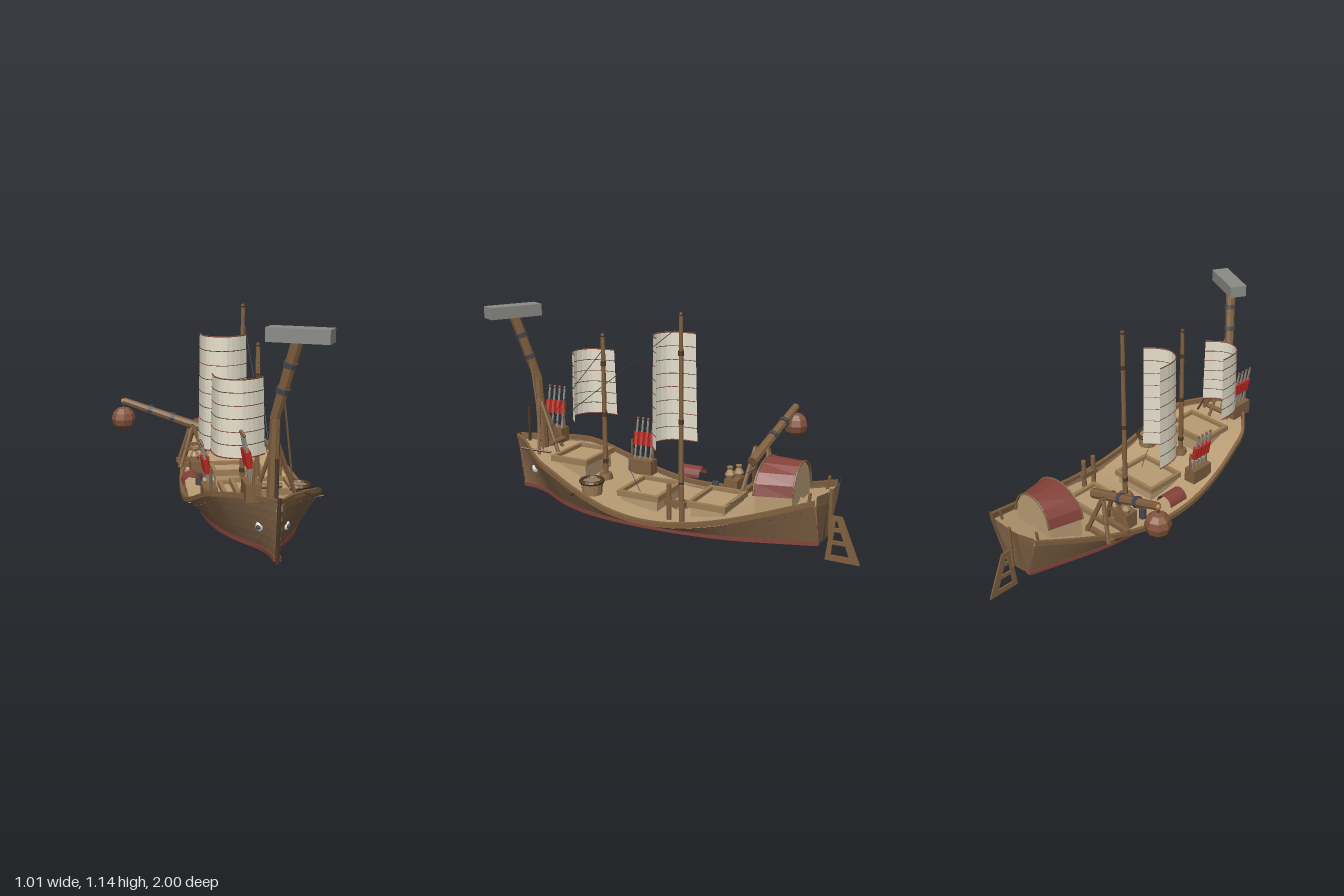
import * as THREE from 'three';

const V = (x, y, z) => new THREE.Vector3(x, y, z);
const paint = (color) => new THREE.MeshStandardMaterial({ color, flatShading: true, side: THREE.DoubleSide });
const CX = 0.17; // centreline of the ship

// hull lines by station: half beam at rail, rail height, half beam at wale, keel height
const STATIONS = [-0.82, -0.6, -0.4, -0.2, 0, 0.2, 0.4, 0.55, 0.65, 0.75, 0.85, 0.95];
const LINES = [
  0.168, 0.34, 0.09, 0.10, 0.232, 0.27, 0.15, 0.075, 0.28, 0.213, 0.20, 0.055, 0.31, 0.173, 0.225, 0.045,
  0.323, 0.16, 0.235, 0.04, 0.321, 0.185, 0.23, 0.045, 0.302, 0.25, 0.20, 0.055, 0.274, 0.31, 0.15, 0.068,
  0.246, 0.345, 0.10, 0.078, 0.168, 0.366, 0.045, 0.087, 0.078, 0.38, 0.013, 0.095, 0.01, 0.39, 0.006, 0.10];
const spline = new THREE.CubicInterpolant(STATIONS, LINES, 4, new Float32Array(4));
function lines(z) {
  const [gh, gy, wh, ky] = spline.evaluate(z);
  return { gh, gy, wh, ky, wy: 0.105 + 0.015 * z * z };
}
const rake = (y, z) => z + (y - 0.33) * 0.13 * THREE.MathUtils.clamp((z - 0.6) / 0.35, 0, 1);
const deckY = (z) => lines(z).gy - 0.02;
function hullX(z, y) {
  const l = lines(z);
  return THREE.MathUtils.lerp(l.wh, l.gh, (y - l.wy) / (l.gy - l.wy));
}

// skin a list of cross-sections
function loft(sections) {
  const p = [], put = (...v) => v.forEach((a) => p.push(a.x, a.y, a.z));
  for (let i = 0; i + 1 < sections.length; i++) {
    const a = sections[i], b = sections[i + 1];
    for (let j = 0; j + 1 < a.length; j++) put(a[j], b[j], b[j + 1], a[j], b[j + 1], a[j + 1]);
  }
  const g = new THREE.BufferGeometry();
  g.setAttribute('position', new THREE.Float32BufferAttribute(p, 3));
  g.computeVertexNormals();
  return g;
}

export function createModel() {
  const root = new THREE.Group();
  root.name = 'sailingShip';
  const hullWood = paint(0x7d6044), keelWood = paint(0x6b5340), deckWood = paint(0xb89c74), wood = paint(0x80603f),
    darkWood = paint(0x4c3827), red = paint(0x84423a), bright = paint(0xb5281f), cloth = paint(0xe6e0cc),
    iron = paint(0x45474d), stone = paint(0x8b8b87), white = paint(0xe8e8e2), copper = paint(0x84543c),
    clay = paint(0x9c7d55), gold = paint(0xb97a35);

  const add = (name, geo, mat, x = 0, y = 0, z = 0, parent = root) => {
    const m = new THREE.Mesh(geo, mat);
    m.name = name;
    m.position.set(x, y, z);
    parent.add(m);
    return m;
  };
  const box = (name, w, h, d, mat, x, y, z) => add(name, new THREE.BoxGeometry(w, h, d), mat, x, y, z);
  const rod = (name, a, b, r0, r1, mat, sides = 8) => {
    const d = b.clone().sub(a);
    const m = add(name, new THREE.CylinderGeometry(r1, r0, d.length(), sides), mat);
    m.position.copy(a).addScaledVector(d, 0.5);
    m.quaternion.setFromUnitVectors(V(0, 1, 0), d.normalize());
  };
  // short collar wrapped round the line a-b at fraction t
  const band = (a, b, t, r, mat = iron) => {
    const c = a.clone().lerp(b, t), d = b.clone().sub(a).setLength(0.012);
    rod('band', c.clone().sub(d), c.clone().add(d), r, r, mat);
  };

  // ---- hull ----
  const hull = new THREE.Group();
  hull.name = 'hull';
  hull.position.x = CX;
  root.add(hull);
  const zs = Array.from({ length: 37 }, (_, i) => -0.82 + (i / 36) * 1.77);
  const P = (x, y, z) => V(x, y, rake(y, z));
  const strip = (name, mat, fn) => add(name, loft(zs.map(fn)), mat, 0, 0, 0, hull);

  strip('bottom', keelWood, (z) => {
    const l = lines(z);
    return [P(-l.wh, l.wy, z), P(-l.wh * 0.5, (l.wy + l.ky) / 2 - 0.002, z), P(0, l.ky, z),
      P(l.wh * 0.5, (l.wy + l.ky) / 2 - 0.002, z), P(l.wh, l.wy, z)];
  });
  strip('deck', deckWood, (z) => {
    const x = Math.max(0.002, lines(z).gh - 0.01);
    return [P(-x, deckY(z), z), P(x, deckY(z), z)];
  });
  for (const s of [-1, 1]) {
    // overlapping planks
    strip('planking', hullWood, (z) => {
      const l = lines(z), pts = [], n = 6;
      for (let i = 0; i < n; i++) for (const [t, out] of [[i / n, 0.005], [(i + 1) / n, 0]])
        pts.push(P(s * (l.wh + (l.gh - l.wh) * t + out), l.wy + (l.gy - l.wy) * t, z));
      return pts;
    });
    const rail = (name, mat, h, w, at) => strip(name, mat, (z) => {
      const [x, y] = at(lines(z));
      return [[-w, -h], [w, -h], [w, h], [-w, h], [-w, -h]].map(([a, b]) => P(s * Math.max(0, x + a), y + b, z));
    });
    rail('gunwale', wood, 0.012, 0.01, (l) => [l.gh, l.gy]);
    rail('wale', red, 0.01, 0.015, (l) => [l.wh - 0.003, l.wy]);
    // bolt heads under the rail
    for (let z = -0.76; z < 0.92; z += 0.07) {
      const y = lines(z).gy - 0.035;
      add('bolt', new THREE.SphereGeometry(0.005, 6, 4), iron, s * (hullX(z, y) + 0.003), y, rake(y, z), hull);
    }
    // painted eyes at the bow
    const ex = hullX(0.82, 0.237), eye = add('eye', new THREE.SphereGeometry(0.024, 12, 8), white, s * ex, 0.237, 0.81, hull);
    eye.scale.x = 0.8;
    add('pupil', new THREE.SphereGeometry(0.011, 10, 6), iron, s * (ex + 0.009), 0.237, 0.827, hull);
  }
  // folded, overhanging transom with two raised wings, and the deck reaching back into it
  const L = lines(-0.82), fold = (h, y, f, notch = 0) => [-1, -0.5, 0, 0.5, 1].map((u) =>
    V(u * h, y - (u === 0 ? notch : 0), -0.82 - (Math.abs(u) === 0.5 ? f : f * 0.3)));
  add('transom', loft([fold(0, L.ky, 0), fold(L.wh, L.wy, 0.005), fold(L.gh, L.gy - 0.02, 0.035), fold(L.gh + 0.005, L.gy + 0.035, 0.04, 0.04)]),
    hullWood, 0, 0, 0, hull);
  add('sternDeck', loft([fold(L.gh, L.gy - 0.02, 0), fold(L.gh, L.gy - 0.015, 0.035)]), hullWood, 0, 0, 0, hull);
  rod('stem', V(CX, 0.1, 0.925), V(CX, 0.405, 0.955), 0.01, 0.01, darkWood, 6);

  // ---- rudder with lattice openings ----
  const poly = (C, pts) => new C(pts.map(([x, y]) => new THREE.Vector2(x, y)));
  const blade = poly(THREE.Shape, [[0.825, 0], [1, 0], [0.905, 0.23], [0.855, 0.23]]);
  blade.holes.push(poly(THREE.Path, [[0.855, 0.03], [0.86, 0.085], [0.925, 0.085], [0.945, 0.03]]),
    poly(THREE.Path, [[0.862, 0.105], [0.867, 0.15], [0.899, 0.15], [0.917, 0.105]]),
    poly(THREE.Path, [[0.869, 0.17], [0.872, 0.205], [0.882, 0.205], [0.892, 0.17]]));
  add('rudder', new THREE.ExtrudeGeometry(blade, { depth: 0.008, bevelEnabled: false }), wood, CX - 0.004).rotation.y = Math.PI / 2;
  rod('rudderPost', V(CX, 0.12, -0.845), V(CX, 0.36, -0.845), 0.01, 0.01, wood);

  // ---- masts and rigging ----
  for (const [z, top, foot] of [[-0.05, 1.14, 0.05], [0.4, 1.0, 0.04]]) {
    const a = V(CX, deckY(z), z), b = V(CX, top, z);
    rod('mast', a, b, 0.014, 0.011, wood);
    add('mastCap', new THREE.SphereGeometry(0.013, 8, 6), darkWood, CX, top - 0.008, z);
    add('mastFoot', new THREE.CylinderGeometry(foot * 0.8, foot, 0.03, 12), wood, CX, a.y + 0.01, z);
    for (const t of [0.12, 0.45, 0.8]) band(a, b, t, 0.015, darkWood);
  }
  const rope = (a, b) => rod('rope', a, b, 0.0018, 0.0018, iron, 5);
  rope(V(CX, 1.08, -0.05), V(CX, 0.46, 0.75));
  rope(V(CX, 0.92, 0.4), V(CX, 0.52, 0.74));
  rope(V(0.24, 0.34, 0.22), V(0.24, 0.21, 0.15));
  rope(V(0.245, 0.27, -0.43), V(0.26, 0.22, -0.33));

  // ---- curved battened sails ----
  for (const [z0, y0, y1, n] of [[0, 0.42, 1, 8], [0.49, 0.51, 0.87, 6]]) {
    const curve = (t) => {
      const k = 1 - 0.07 * t;
      return new THREE.CatmullRomCurve3([[-0.066, -0.025], [-0.064, 0.06], [-0.04, 0.13], [0.04, 0.172], [0.115, 0.145], [0.172, 0.095]]
        .map(([x, z]) => V(0.045 + (x - 0.045) * k, y0 + (y1 - y0) * t, z0 + 0.08 + (z - 0.08) * k)));
    };
    add('sail', loft(Array.from({ length: n + 1 }, (_, i) => curve(i / n).getPoints(14))), cloth);
    for (let i = 0; i <= n; i++) {
      const edge = i === 0 || i === n;
      add('batten', new THREE.TubeGeometry(curve(i / n), 14, edge ? 0.003 : 0.0018, 5), edge || i % 2 === 0 ? red : darkWood);
    }
  }

  // ---- deck hatches with raised coamings ----
  for (const [z0, z1, top] of [[-0.36, -0.15, 0.225], [0.01, 0.25, 0.22], [0.43, 0.65, 0.35]]) {
    const zc = (z0 + z1) / 2, d = z1 - z0, low = Math.min(deckY(z0), deckY(z1), deckY(zc)) - 0.01;
    box('hatch', 0.25, top - 0.015 - low, d - 0.03, deckWood, CX, (top - 0.015 + low) / 2, zc);
    for (const s of [-1, 1]) {
      box('coaming', 0.02, 0.03, d, clay, CX + s * 0.13, top - 0.01, zc);
      box('coaming', 0.28, 0.03, 0.02, clay, CX, top - 0.01, zc + s * (d / 2 - 0.01));
    }
  }

  // ---- stern cabin with a vaulted roof ----
  const arch = (h, z, k, foot) => {
    const pts = Array.from({ length: 9 }, (_, i) => Math.PI * i / 8).map((a) =>
      V(CX + h * k * Math.cos(a), 0.33 + 0.145 * k * Math.sin(a), z));
    return foot ? [V(CX + h * k, foot, z), ...pts, V(CX - h * k, foot, z)] : pts;
  };
  const hub = (z) => Array.from({ length: 11 }, () => V(CX, 0.3, z));
  add('cabin', loft([hub(-0.695), arch(0.127, -0.695, 0.97, 0.22), arch(0.175, -0.525, 0.97, 0.2), hub(-0.525)]), deckWood);
  add('cabinRoof', loft([arch(0.127, -0.7, 1), arch(0.177, -0.52, 1)]), red);
  for (const [h, z] of [[0.127, -0.7], [0.177, -0.52]])
    add('roofEdge', new THREE.TubeGeometry(new THREE.CatmullRomCurve3(arch(h, z, 1)), 16, 0.005, 5), wood);

  // ---- bow hammer: braced post, bent arm, heavy block ----
  const p0 = V(CX, 0.34, 0.79), p1 = V(CX + 0.005, 0.73, 0.81), p2 = V(0.25, 1.08, 0.895);
  rod('hammerPost', p0, p1, 0.028, 0.024, wood);
  rod('hammerArm', p1, p2, 0.024, 0.028, wood);
  for (const t of [0.35, 0.68]) band(p1, p2, t, 0.033);
  box('hammerHead', 0.283, 0.062, 0.092, stone, 0.261, 1.098, 0.888).rotation.y = -0.5;
  for (const [x, z] of [[0.29, 0.74], [0.1, 0.72], [0.2, 0.68]])
    rod('hammerBrace', V(CX + 0.01, 0.64, 0.805), V(x, 0.34, z), 0.01, 0.01, wood, 6);
  rod('hammerLine', V(0.205, 0.85, 0.835), V(0.28, 0.37, 0.72), 0.005, 0.005, wood, 6);
  rod('windlass', V(0.11, 0.39, 0.705), V(0.23, 0.39, 0.705), 0.014, 0.014, wood);
  rod('bowPost', V(CX, 0.37, 0.885), V(CX, 0.56, 0.88), 0.008, 0.008, darkWood);
  rod('oar', V(0.28, 0.36, 0.67), V(0.335, 0.38, 0.82), 0.006, 0.006, darkWood, 6);

  // ---- swinging arm with ball ----
  const a0 = V(0.05, 0.395, -0.39), a1 = V(-0.44, 0.575, -0.435);
  rod('swingArm', a0, a1, 0.027, 0.02, wood);
  for (const t of [0.45, 0.7]) band(a0, a1, t, 0.03);
  add('armTip', new THREE.SphereGeometry(0.014, 8, 6), gold, -0.44, 0.573, -0.435);
  rod('chain', V(-0.44, 0.575, -0.435), V(-0.44, 0.53, -0.435), 0.006, 0.006, iron, 6);
  add('ball', new THREE.SphereGeometry(0.067, 8, 6), copper, -0.44, 0.474, -0.435);
  for (const z of [-0.34, -0.45]) {
    const s = z > -0.4 ? 1 : -1;
    for (const x of [-0.13, 0.03]) rod('trestleLeg', V(x, 0.21, z + s * 0.015), V(-0.06, 0.44, z - s * 0.02), 0.012, 0.012, wood, 6);
    box('trestleFoot', 0.19, 0.025, 0.025, wood, -0.05, 0.22, z);
    box('trestleBar', 0.11, 0.018, 0.018, wood, -0.055, 0.31, z);
  }
  rod('trestleAxle', V(-0.06, 0.43, -0.44), V(-0.06, 0.43, -0.35), 0.013, 0.013, darkWood);

  // ---- racks of tilted rockets ----
  for (const [x, y, z] of [[0.075, 0.44, 0.785], [-0.05, 0.285, 0.3]]) {
    box('rocketRack', 0.07, 0.08, 0.14, wood, x, y - 0.04, z);
    for (let i = 0; i < 4; i++) {
      const zi = z + (i - 1.5) * 0.032, at = (t) => V(x - 0.04 * t, y + 0.215 * t, zi);
      rod('rocketStick', at(-0.1), at(0.97), 0.006, 0.006, stone, 6);
      rod('rocketTube', at(0.33), at(0.66), 0.016, 0.016, bright, 8);
      add('rocketTip', new THREE.SphereGeometry(0.008, 6, 5), copper, at(1).x, at(1).y, zi);
    }
    for (const s of [-1, 1]) rod('rackPost', V(x, y - 0.05, z + s * 0.065), V(x, y + 0.1, z + s * 0.065), 0.007, 0.007, wood, 6);
  }

  // ---- deck gear ----
  add('sideCanopy', new THREE.CylinderGeometry(0.05, 0.05, 0.125, 10, 1, true, -Math.PI / 2, Math.PI), red, -0.108, 0.22, 0.025).rotation.x = -Math.PI / 2;
  add('ropeBarrel', new THREE.CylinderGeometry(0.058, 0.05, 0.07, 14), clay, 0.385, 0.25, 0.35);
  add('ropeCoil', new THREE.TorusGeometry(0.056, 0.011, 6, 18), darkWood, 0.385, 0.284, 0.35).rotation.x = Math.PI / 2;
  rod('cleat', V(0.46, 0.237, 0.4), V(0.505, 0.237, 0.4), 0.006, 0.006, darkWood, 6);
  for (const z of [-0.09, -0.16]) rod('bittPost', V(0.38, 0.15, z), V(0.38, 0.335, z), 0.013, 0.013, wood);
  box('bittBar', 0.025, 0.025, 0.11, wood, 0.38, 0.24, -0.125);
  add('keg', new THREE.CylinderGeometry(0.02, 0.02, 0.06, 10), iron, -0.05, 0.19, -0.14);
  box('crate', 0.1, 0.09, 0.075, wood, -0.035, 0.22, -0.255);
  const pot = new THREE.LatheGeometry([[0.001, 0], [0.02, 0], [0.028, 0.025], [0.013, 0.05], [0.017, 0.065], [0.001, 0.065]].map(([x, y]) => new THREE.Vector2(x, y)), 10);
  for (const [x, z] of [[-0.058, -0.27], [-0.012, -0.24]]) add('pot', pot, clay, x, 0.265, z);
  for (const s of [-1, 1]) rod('sternPost', V(CX + s * 0.14, 0.3, -0.78), V(CX + s * 0.14, 0.375, -0.79), 0.008, 0.008, wood, 6);

  return root;
}
